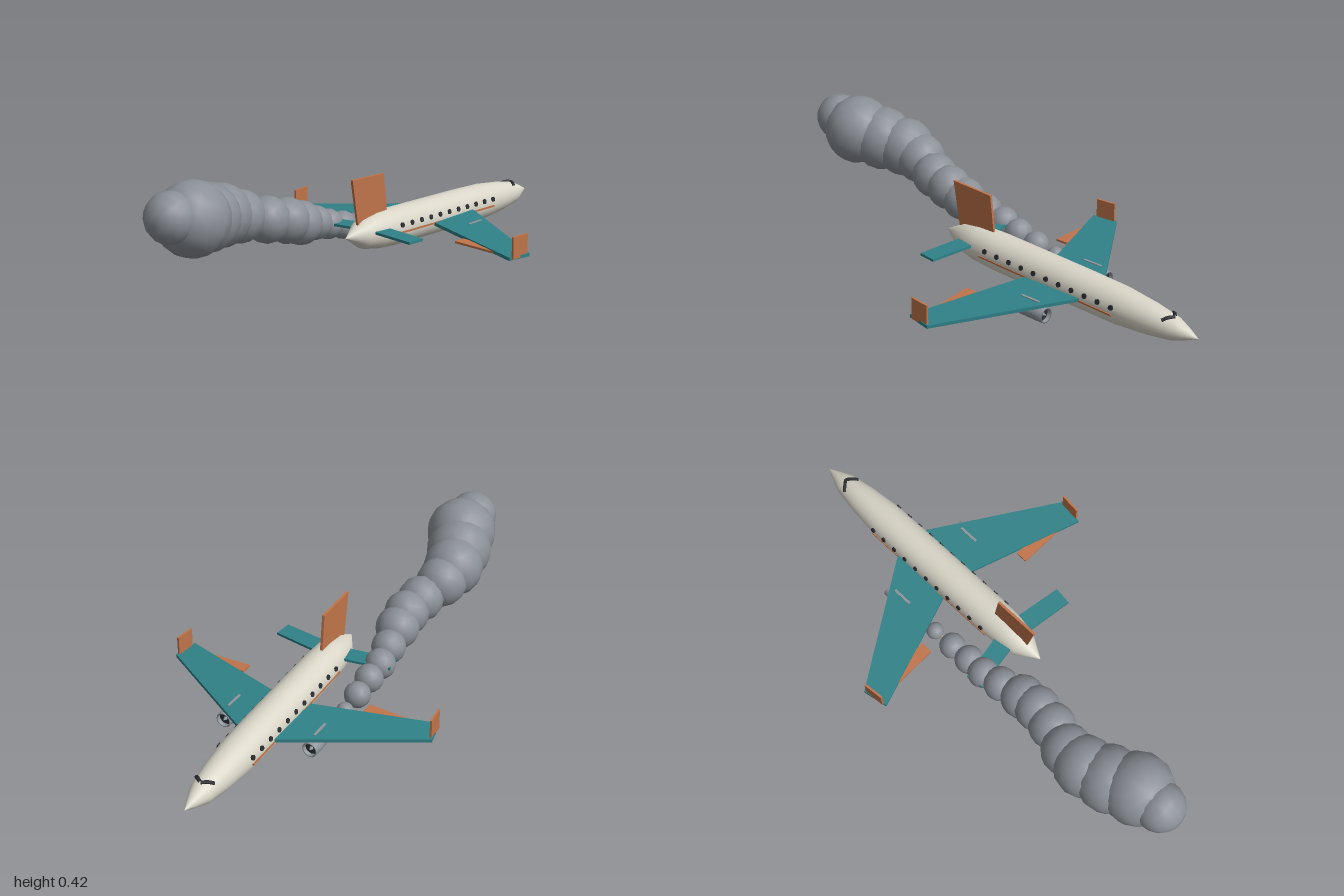
import * as THREE from 'three';

const paint = (name, color) => {
  const m = new THREE.MeshStandardMaterial({ color });
  m.name = name;
  return m;
};

export function createModel() {
  const cream = paint('cream', 0xd9d6c8);
  const teal = paint('teal', 0x2f8288);
  const copper = paint('copper', 0xc1744a);
  const smokeGrey = paint('smoke grey', 0x8b9097);
  const engineGrey = paint('engine grey', 0x8f959c);
  const dark = paint('dark glass', 0x2b2d31);
  const gold = paint('flame gold', 0xe0a030);
  const pale = paint('flame core', 0xf0cf90);

  const model = new THREE.Group();
  model.name = 'smokingAirliner';

  const add = (parent, name, geometry, material, x = 0, y = 0, z = 0) => {
    const mesh = new THREE.Mesh(geometry, material);
    mesh.name = name;
    mesh.position.set(x, y, z);
    parent.add(mesh);
    return mesh;
  };

  // Flat panel from an outline in x and z, with its height changing along the span
  const panel = (outline, side, thickness, y0, slope) => {
    const shape = new THREE.Shape(outline.map(([x, z]) => new THREE.Vector2(x * side, z)));
    const g = new THREE.ExtrudeGeometry(shape, { depth: thickness, bevelEnabled: false });
    g.rotateX(Math.PI / 2);
    const p = g.attributes.position;
    for (let i = 0; i < p.count; i++) {
      p.setY(i, p.getY(i) + y0 + slope * Math.abs(p.getX(i)));
    }
    g.computeVertexNormals();
    return g;
  };

  // Fuselage, pitched slightly nose down
  const body = new THREE.Group();
  body.name = 'body';
  body.position.y = 0.101;
  body.rotation.x = -0.036;
  model.add(body);
  const profile = [
    [0, -1], [0.022, -0.955], [0.044, -0.9], [0.06, -0.8], [0.072, -0.67], [0.074, -0.5],
    [0.074, -0.1], [0.069, 0], [0.055, 0.08], [0, 0.17],
  ].map(([r, z]) => new THREE.Vector2(r, z));
  add(body, 'fuselage', new THREE.LatheGeometry(profile, 24).rotateX(Math.PI / 2), cream);

  // Cabin windows and side stripe
  for (const side of [1, -1]) {
    for (let i = 0; i < 11; i++) {
      const tilt = Math.asin(0.02 / 0.073);
      const w = add(body, 'cabinWindow', new THREE.CylinderGeometry(0.01, 0.01, 0.008, 10), dark,
        side * 0.0705, 0.02, -0.08 - 0.059 * i);
      w.rotation.z = side * (tilt - Math.PI / 2);
    }
    add(body, 'sideStripe', new THREE.BoxGeometry(0.006, 0.007, 0.62), copper,
      side * 0.0725, -0.008, -0.365);

    // Cockpit window, half of the chevron
    const curve = new THREE.CatmullRomCurve3([
      new THREE.Vector3(0, 0.046, -0.896),
      new THREE.Vector3(side * 0.02, 0.045, -0.88),
      new THREE.Vector3(side * 0.037, 0.035, -0.865),
    ]);
    add(body, 'cockpitWindow', new THREE.TubeGeometry(curve, 6, 0.007, 6), dark);
  }

  // Tail fin
  const finShape = new THREE.Shape(
    [[-0.07, 0.15], [0.1, 0.13], [0.133, 0.323], [-0.05, 0.316]]
      .map(([z, y]) => new THREE.Vector2(-z, y)));
  const finGeometry = new THREE.ExtrudeGeometry(finShape, { depth: 0.01, bevelEnabled: false });
  finGeometry.translate(0, 0, -0.005).rotateY(Math.PI / 2);
  add(model, 'tailFin', finGeometry, copper);

  // Engine shell with a hollow front
  const shell = [[0, 0.065], [0.024, 0.065], [0.029, 0.045], [0.031, -0.03], [0.03, -0.065],
    [0.025, -0.065], [0.025, -0.045]].map(([r, z]) => new THREE.Vector2(r, z)).reverse();
  const engineGeometry = new THREE.LatheGeometry(shell, 16).rotateX(Math.PI / 2);

  for (const side of [1, -1]) {
    // Lifting surfaces
    add(model, 'wing', panel([[0.03, -0.558], [0.55, -0.23], [0.53, -0.13], [0.03, -0.293]],
      side, 0.013, 0.088, -0.042), teal);
    add(model, 'tailplane', panel([[0.02, -0.018], [0.246, 0.02], [0.238, 0.09], [0.02, 0.058]],
      side, 0.01, 0.12, 0), teal);
    add(model, 'flap', panel([[0.26, -0.208], [0.5, -0.208], [0.5, -0.16], [0.26, -0.16]],
      side, 0.008, 0.083, -0.042), copper);
    const winglet = add(model, 'winglet', new THREE.BoxGeometry(0.008, 0.085, 0.08), copper,
      side * 0.537, 0.098, -0.185);
    winglet.rotation.y = -side * 0.1;

    // Engine, intake and pylon
    const engine = new THREE.Group();
    engine.name = 'engine';
    engine.position.set(side * 0.182, 0.038, -0.405);
    model.add(engine);
    add(engine, 'engineShell', engineGeometry, engineGrey);
    const intake = add(engine, 'intake', new THREE.CircleGeometry(0.026, 16), dark, 0, 0, -0.05);
    intake.rotation.y = Math.PI;
    const hub = add(engine, 'intakeHub', new THREE.ConeGeometry(0.009, 0.018, 10), engineGrey, 0, 0, -0.057);
    hub.rotation.x = -Math.PI / 2;
    add(engine, 'pylon', new THREE.BoxGeometry(0.01, 0.03, 0.08), engineGrey, 0, 0.03, 0.01);
  }

  // Flame behind the burning engine
  const flame = add(model, 'flame', new THREE.ConeGeometry(0.029, 0.17, 10), gold, -0.182, 0.038, -0.255);
  flame.rotation.x = Math.PI / 2;
  const core = add(model, 'flameCore', new THREE.ConeGeometry(0.014, 0.22, 8), pale, -0.182, 0.045, -0.23);
  core.rotation.x = Math.PI / 2;

  // Smoke trail: x, y, z, radius of each puff
  const puffs = [
    [-0.185, 0.05, -0.215, 0.034], [-0.185, 0.065, -0.12, 0.051], [-0.185, 0.085, -0.03, 0.056],
    [-0.19, 0.105, 0.05, 0.06], [-0.18, 0.13, 0.135, 0.067], [-0.165, 0.155, 0.235, 0.085],
    [-0.165, 0.18, 0.31, 0.088], [-0.18, 0.2, 0.4, 0.09], [-0.215, 0.23, 0.51, 0.1],
    [-0.22, 0.252, 0.6, 0.118], [-0.195, 0.27, 0.7, 0.128], [-0.157, 0.293, 0.8, 0.138],
    [-0.155, 0.32, 0.905, 0.095],
  ];
  const puffGeometry = new THREE.SphereGeometry(1, 14, 10);
  puffs.forEach(([x, y, z, r], i) => {
    const puff = add(model, 'smokePuff', puffGeometry, smokeGrey, x, y, z);
    puff.scale.setScalar(r);
    puff.rotation.set(i * 0.7, i * 1.3, i * 0.4);
  });

  return model;
}
